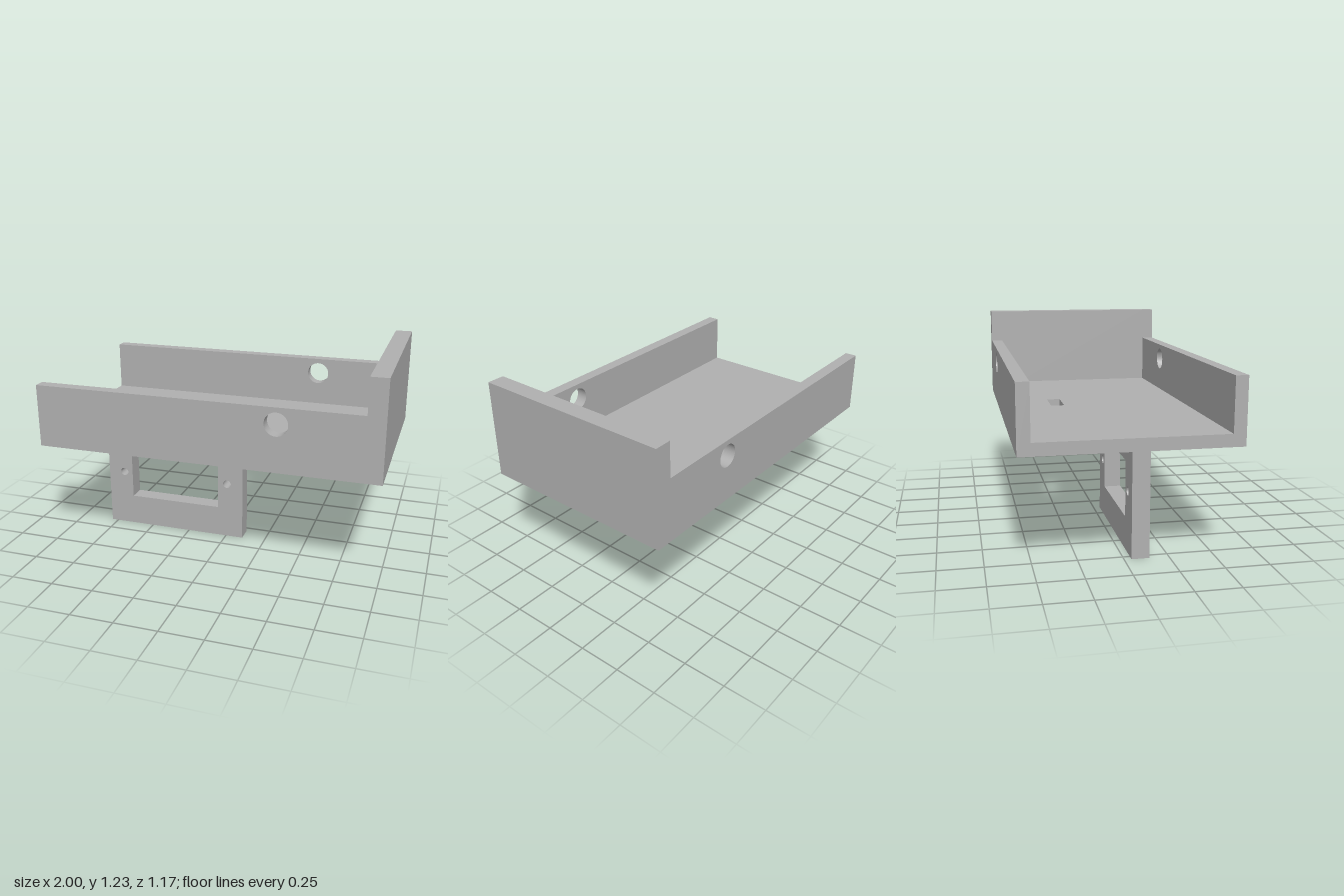
import * as THREE from 'three';

const W = 0.5875;      // half depth of the tray
const T = 0.07;        // wall and floor thickness
const BASE = 0.655;    // underside of the tray
const RIM = 1.025;     // top of the side walls
const TOP = 1.23;      // top of the end wall
const STOP = 0.9;      // inner face of the end wall
const POCKET = 0.05;   // depth of the blind holes

const polygon = (points) => new THREE.Shape(points.map(([x, y]) => new THREE.Vector2(x, y)));
const rect = (x0, x1, y0, y1) => polygon([[x0, y0], [x1, y0], [x1, y1], [x0, y1]]);
const circle = (x, y, r) => new THREE.Path().absarc(x, y, r, 0, Math.PI * 2, true);

function plate(shape, holes, depth) {
  shape.holes.push(...holes);
  return new THREE.ExtrudeGeometry(shape, { depth, bevelEnabled: false, curveSegments: 32 });
}

export function createModel() {
  const model = new THREE.Group();
  const grey = new THREE.MeshStandardMaterial({ color: 0xb0b0b0 });
  grey.name = 'grey';

  const add = (name, geometry, x = 0, y = 0, z = 0) => {
    const mesh = new THREE.Mesh(geometry, grey);
    mesh.name = name;
    mesh.position.set(x, y, z);
    model.add(mesh);
  };

  // Side walls, stepped up to the end wall, each with a round hole
  for (const [name, z] of [['frontWall', W - T], ['backWall', -W]]) {
    const profile = polygon([[-1, BASE], [1, BASE], [1, TOP], [STOP, TOP], [STOP, RIM], [-1, RIM]]);
    add(name, plate(profile, [circle(0.425, 0.93, 0.067)], T), 0, 0, z);
  }

  // End wall
  const inner = 2 * (W - T);
  add('endWall', new THREE.BoxGeometry(1 - STOP, TOP - BASE, inner), (1 + STOP) / 2, (TOP + BASE) / 2, 0);

  // Floor in two layers: slot through both, screw pockets in the lower one only
  const pockets = [];
  for (const x of [-0.8, 0.8]) for (const z of [-0.26, 0.26]) pockets.push(circle(x, z, 0.037));
  const floor = (holes, depth) =>
    plate(rect(-1, STOP, -inner / 2, inner / 2), [rect(-0.07, 0.14, 0.215, 0.295), ...holes], depth)
      .rotateX(-Math.PI / 2);
  add('floorUnderside', floor(pockets, POCKET), 0, BASE, 0);
  add('floorTop', floor([], T - POCKET), 0, BASE + POCKET, 0);

  // Hanging bracket with a rectangular window and two screw holes
  const window = rect(-0.63, -0.05, 0.19, 0.515);
  const screws = [-0.685, 0.008].map((x) => circle(x, 0.353, 0.025));
  add('bracket', plate(rect(-0.79, 0.108, 0, BASE), [window, ...screws], 0.1), 0, 0, 0.04);

  return model;
}
